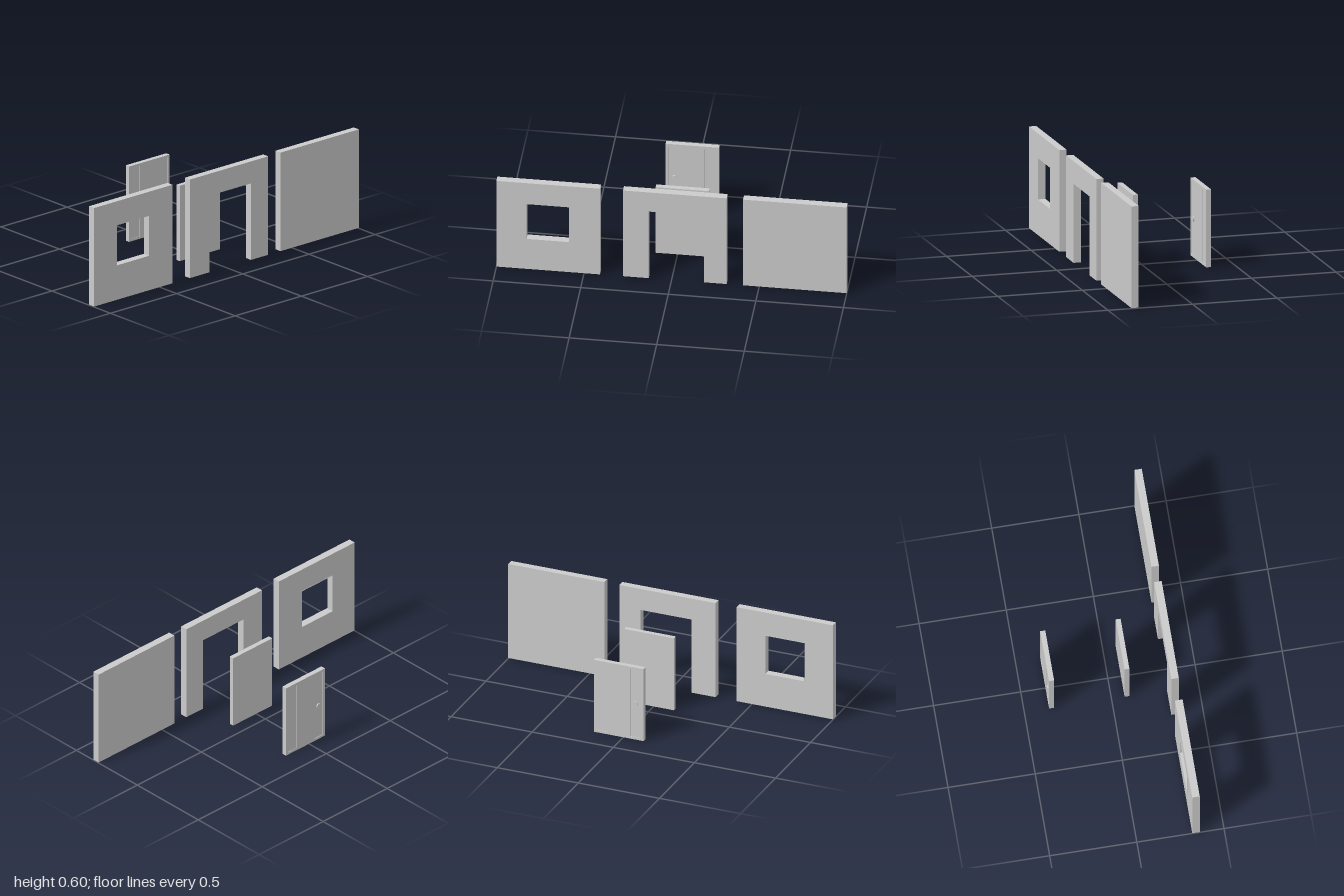
import * as THREE from 'three';

const material = new THREE.MeshStandardMaterial({ color: 0xcccccc });
const openMaterial = new THREE.MeshStandardMaterial({ color: 0xcccccc, side: THREE.DoubleSide });

// Closed outline in the z-y plane from [z, y] points
const outline = (points, Type = THREE.Shape) => new Type(points.map(([z, y]) => new THREE.Vector2(z, y)));
const rect = (z0, z1, y0, y1) => [[z0, y0], [z1, y0], [z1, y1], [z0, y1]];

// Upright slab between x0 and x1 with an outline and holes in the z-y plane
function slab(name, x0, x1, points, holes = [], mat = material) {
  const shape = outline(points);
  shape.holes = holes.map((h) => outline([...h].reverse(), THREE.Path));
  const geometry = new THREE.ExtrudeGeometry(shape, { depth: x1 - x0, bevelEnabled: false });
  geometry.rotateY(-Math.PI / 2).translate(x1, 0, 0);
  const mesh = new THREE.Mesh(geometry, mat);
  mesh.name = name;
  return mesh;
}

export function createModel() {
  const model = new THREE.Group();
  model.name = 'wallAndDoorSet';

  // Walls
  const X0 = 0.318, X1 = 0.361, Y0 = 0.003, Y1 = 0.595;
  const windowHole = rect(0.585, 0.827, 0.21, 0.45);
  model.add(slab('windowWall', X0, X1, rect(0.408, 1, Y0, Y1), [windowHole]));
  model.add(slab('doorwayWall', X0, X1, [
    [-0.315, Y0], [-0.185, Y0], [-0.185, 0.463], [0.13, 0.463],
    [0.13, Y0], [0.277, Y0], [0.277, Y1], [-0.315, Y1],
  ]));
  model.add(slab('plainWall', X0, X1, rect(-1, -0.408, Y0, Y1)));

  // Thin lining of the window opening, standing slightly proud of the wall
  model.add(slab('windowLining', 0.316, X1, rect(0.584, 0.828, 0.209, 0.451), [windowHole], openMaterial));

  // Plain door
  const Z0 = -0.18, Z1 = 0.125, TOP = 0.453;
  model.add(slab('plainDoor', 0.075, 0.103, rect(Z0, Z1, 0, TOP)));

  // Panelled door: a core with a skin on each side, cut by two sunken strips
  const door = new THREE.Group();
  door.name = 'panelledDoor';
  const D0 = -0.358, D1 = -0.329, SINK = 0.003;
  const strips = [rect(-0.165, -0.098, 0.015, 0.438), rect(0.043, 0.11, 0.015, 0.438)];
  door.add(slab('doorCore', D0 + SINK, D1 - SINK, rect(Z0, Z1, 0, TOP)));
  door.add(slab('rightSkin', D0, D0 + SINK, rect(Z0, Z1, 0, TOP), strips));
  door.add(slab('leftSkin', D1 - SINK, D1, rect(Z0, Z1, 0, TOP), strips));

  // Round knobs on both faces
  for (const [name, x] of [['rightKnob', -0.3582], ['leftKnob', -0.3288]]) {
    const knob = new THREE.Mesh(new THREE.CylinderGeometry(0.015, 0.015, 0.008, 24), material);
    knob.name = name;
    knob.rotation.z = Math.PI / 2;
    knob.position.set(x, 0.223, 0.075);
    door.add(knob);
  }
  model.add(door);
  return model;
}
